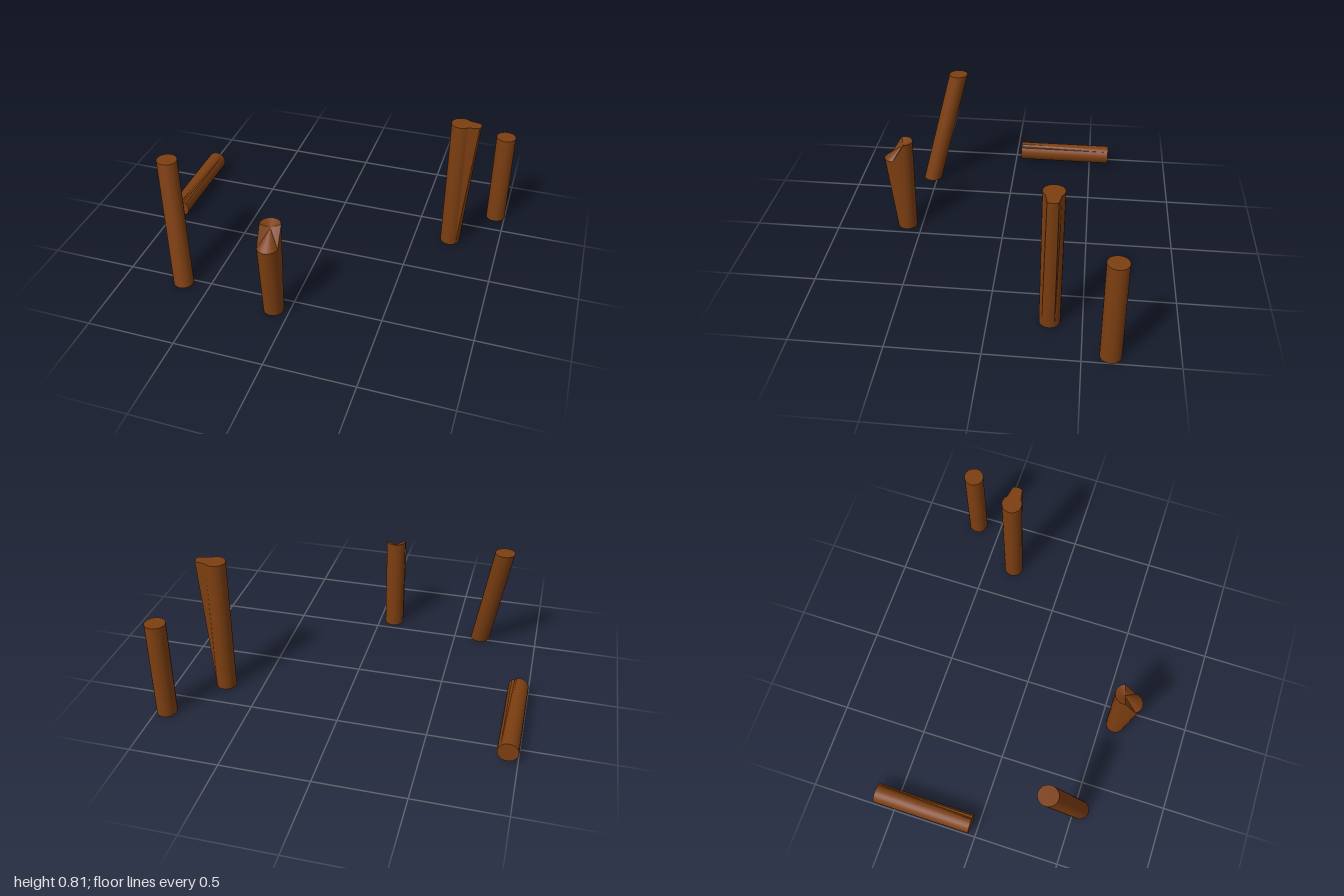
import * as THREE from 'three';
import { toCreasedNormals } from 'three/addons/utils/BufferGeometryUtils.js';

const R = 0.057;

export function createModel() {
  const group = new THREE.Group();
  const wood = new THREE.MeshStandardMaterial({ color: 0x7c3e11 });
  wood.name = 'brownWood';

  // Round log standing on y = 0; the rule may move each vertex.
  function log(name, height, rule) {
    const geo = new THREE.CylinderGeometry(R, R, height, 24);
    geo.translate(0, height / 2, 0);
    const pos = geo.attributes.position;
    const v = new THREE.Vector3();
    if (rule) {
      for (let i = 0; i < pos.count; i++) {
        v.fromBufferAttribute(pos, i);
        rule(v, v.y > height / 2);
        pos.setXYZ(i, v.x, v.y, v.z);
      }
    }
    const mesh = new THREE.Mesh(toCreasedNormals(geo, 0.45), wood);
    mesh.name = name;
    group.add(mesh);
    return mesh;
  }

  // Plain short post
  log('shortPost', 0.58).position.set(0.943, 0, -0.647);

  // Tall post with a narrow fin that widens towards the top
  log('finnedPost', 0.81, (v, top) => {
    if (top && v.x > R * 0.85) v.x += 0.055;
  }).position.set(0.713, 0, -0.327);

  // Leaning post, sheared so both ends stay level
  log('leaningPost', 0.7, (v, top) => {
    if (top) { v.x -= 0.115; v.z -= 0.17; }
  }).position.set(-0.658, 0, 0.53);

  // Stump whose front is pulled forward and cut down at a slant
  log('slantedStump', 0.58, (v, top) => {
    if (!top) return;
    if (Math.hypot(v.x, v.z) < 0.01) v.y = 0.555;
    else if (v.z > (v.x < 0 ? 0.02 : -0.001)) { v.y = 0.47; v.z += 0.055; }
  }).position.set(-0.09, 0, 0.588);

  // Lying log with a shallow groove deepening to its front end
  const lying = log('lyingLog', 0.583, (v, top) => {
    const a = Math.atan2(v.z, v.x);
    if (top && Math.hypot(v.x, v.z) > 0.01 && Math.abs(a + Math.PI / 3) < 0.1) {
      v.x *= 0.86;
      v.z *= 0.86;
    }
  });
  lying.rotation.x = Math.PI / 2;
  lying.position.set(-0.943, 0.07, -0.62);

  return group;
}
